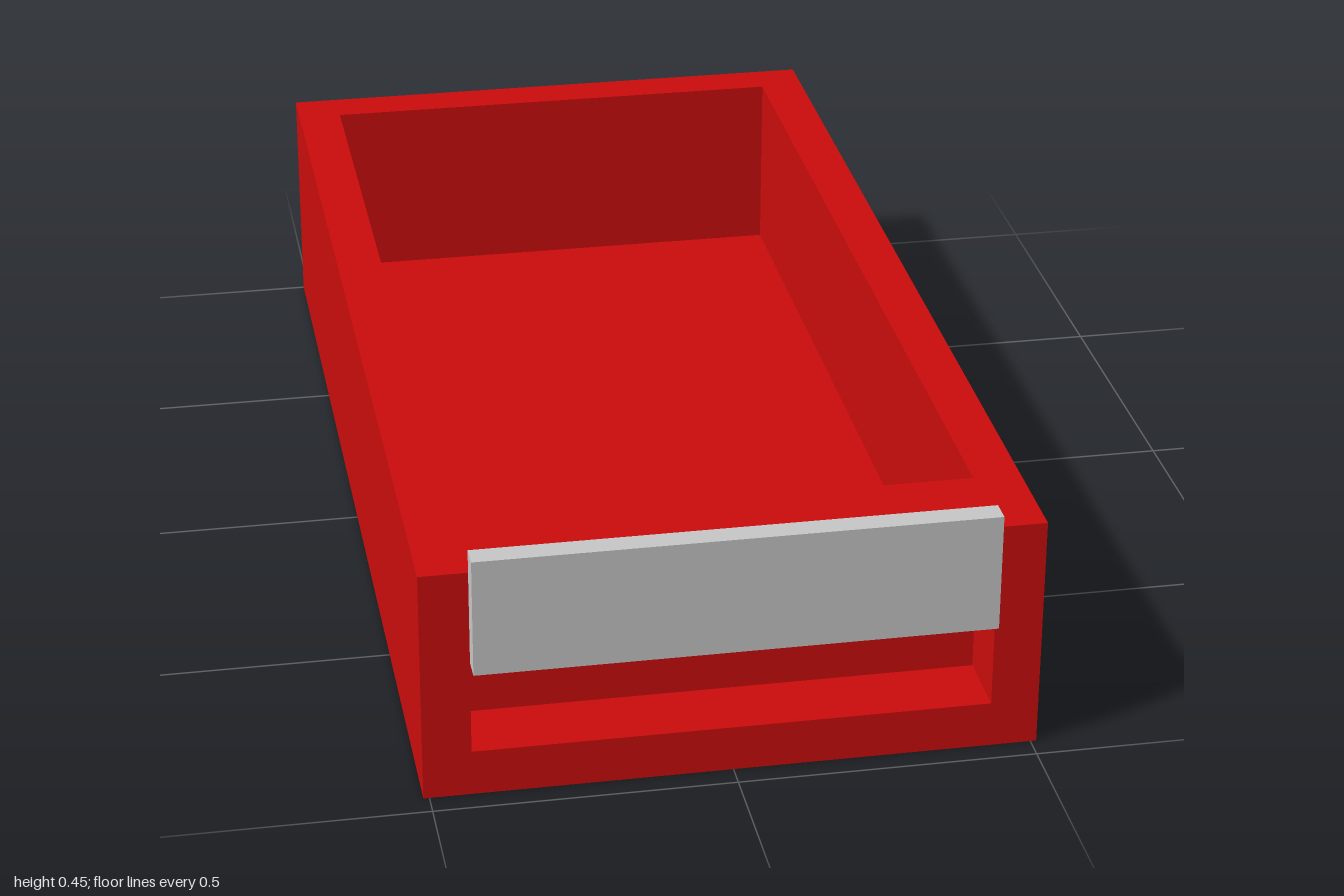
import * as THREE from 'three';

export function createModel() {
  const model = new THREE.Group();
  model.name = 'drawer';
  const red = new THREE.MeshStandardMaterial({ name: 'red', color: 0xcc0c0c });
  const grey = new THREE.MeshStandardMaterial({ name: 'light grey', color: 0xc8c8c8 });

  const halfWidth = 0.51, inner = 0.43, height = 0.41, floor = 0.08;
  const back = -1, front = 0.96;

  function add(name, geometry, material, x = 0, y = 0, z = 0) {
    const mesh = new THREE.Mesh(geometry, material);
    mesh.name = name;
    mesh.position.set(x, y, z);
    model.add(mesh);
  }

  // Body between the side walls: a (z, y) section with the open tray and
  // the finger recess in the front, swept across the width
  const section = new THREE.Shape([
    [back, 0], [front, 0],
    [front, floor], [0.836, floor], [0.836, 0.33], [front, 0.33], // finger recess
    [front, height], [0.79, height],
    [0.79, floor], [-0.92, floor], [-0.92, height],               // tray
    [back, height],
  ].map(([z, y]) => new THREE.Vector2(z, y)));
  const body = new THREE.ExtrudeGeometry(section, { depth: inner * 2, bevelEnabled: false });
  body.translate(0, 0, -inner);
  body.rotateY(-Math.PI / 2);
  add('trayBody', body, red);

  // Side walls
  const wall = new THREE.BoxGeometry(halfWidth - inner, height, front - back);
  for (const [name, side] of [['leftWall', 1], ['rightWall', -1]]) {
    add(name, wall, red, side * (halfWidth + inner) / 2, height / 2, (front + back) / 2);
  }

  // Pull plate across the front
  add('pullPlate', new THREE.BoxGeometry(0.855, 0.205, 0.04), grey, -0.002, 0.348, 0.98);

  return model;
}
